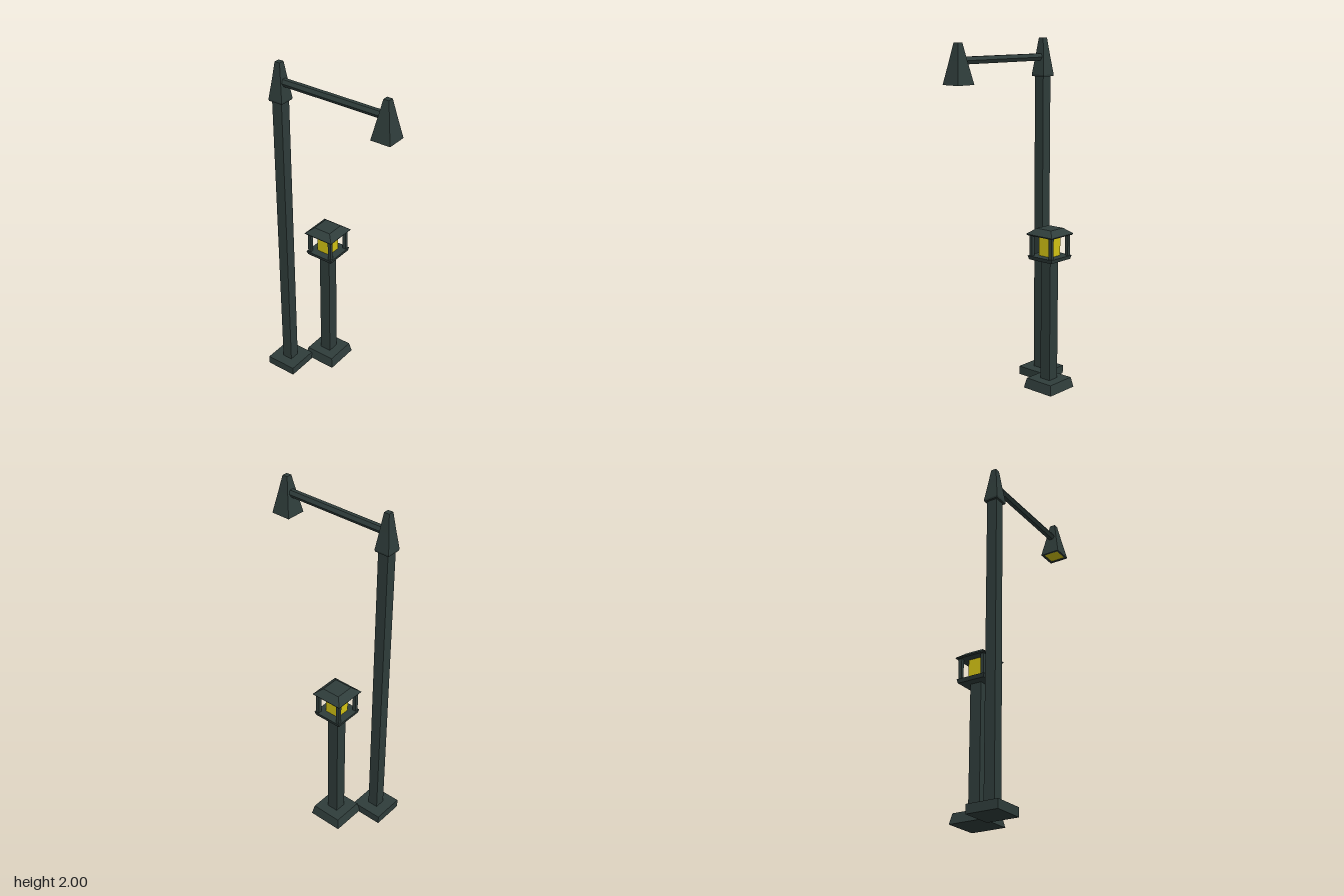
import * as THREE from 'three';

const metal = new THREE.MeshStandardMaterial({ color: 0x2f3d3b, flatShading: true });
const glow = new THREE.MeshStandardMaterial({ color: 0xd4c414, flatShading: true });

// Square solid from [half width, height] pairs, listed bottom to top
function squareSolid(name, profile, material = metal) {
  const points = profile.map(([half, y]) => new THREE.Vector2(half * Math.SQRT2, y));
  points.unshift(new THREE.Vector2(0, profile[0][1]));
  points.push(new THREE.Vector2(0, profile[profile.length - 1][1]));
  const mesh = new THREE.Mesh(new THREE.LatheGeometry(points, 4, Math.PI / 4), material);
  mesh.name = name;
  return mesh;
}

function createTallLamp() {
  const group = new THREE.Group();
  group.name = 'tallLamp';
  group.add(
    squareSolid('tallBase', [[0.093, 0], [0.093, 0.05]]),
    squareSolid('tallPole', [[0.031, 0.05], [0.031, 1.8]]),
    squareSolid('poleCap', [[0.042, 1.785], [0.044, 1.795], [0.029, 1.9], [0.016, 2]])
  );

  // Six-sided arm reaching forward
  const armGeometry = new THREE.CylinderGeometry(0.0225, 0.0225, 0.66, 6);
  armGeometry.rotateY(Math.PI / 2).rotateX(Math.PI / 2);
  const arm = new THREE.Mesh(armGeometry, metal);
  arm.name = 'arm';
  arm.position.set(0, 1.893, 0.33);
  group.add(arm);

  // Hanging shade with a recessed light panel beneath
  const shade = squareSolid('lampShade',
    [[0.046, 1.785], [0.046, 1.77], [0.058, 1.77], [0.033, 1.895], [0.016, 1.985]]);
  const panel = squareSolid('lampPanel', [[0.0455, 1.775], [0.0455, 1.784]], glow);
  for (const part of [shade, panel]) {
    part.position.z = 0.663;
    group.add(part);
  }
  group.position.set(-0.101, 0, -0.316);
  return group;
}

function createShortLamp() {
  const group = new THREE.Group();
  group.name = 'shortLamp';
  group.add(
    squareSolid('shortBase', [[0.102, 0.01], [0.09, 0.068]]),
    squareSolid('shortColumn', [[0.034, 0.068], [0.034, 0.785]]),
    squareSolid('lanternPlate', [[0.082, 0.778], [0.088, 0.8]]),
    squareSolid('lanternLight', [[0.042, 0.8], [0.042, 0.922]], glow),
    squareSolid('lanternRoof', [[0.09, 0.918], [0.094, 0.925], [0.053, 0.957]])
  );
  // Four corner posts of the lantern
  for (const x of [-0.071, 0.071]) {
    for (const z of [-0.071, 0.071]) {
      const post = squareSolid('lanternPost', [[0.01, 0.798], [0.01, 0.92]]);
      post.position.set(x, 0, z);
      group.add(post);
    }
  }
  group.position.set(0.09, 0, -0.164);
  return group;
}

export function createModel() {
  const model = new THREE.Group();
  model.name = 'streetLamps';
  model.add(createTallLamp(), createShortLamp());
  return model;
}
